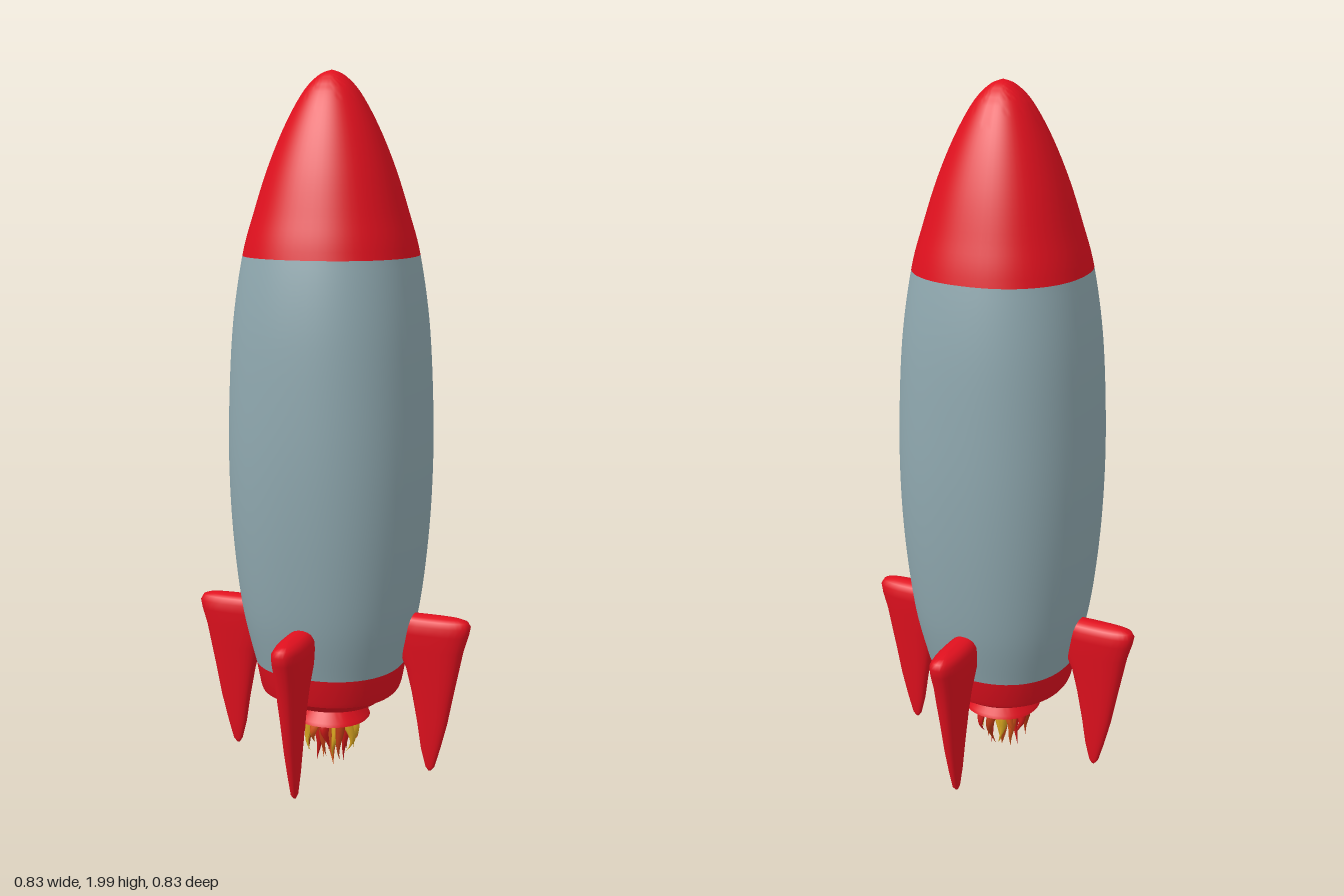
import * as THREE from 'three';
import { mergeVertices, toCreasedNormals } from 'three/addons/utils/BufferGeometryUtils.js';

const paint = (color) => new THREE.MeshStandardMaterial({ color });
const red = paint(0xe0101e);
const grey = paint(0x8fa8af);
const dark = paint(0x0a0a0a);
const flameColors = [paint(0xd8561a), paint(0xd9a520), paint(0xb83a14), paint(0xcf1a18)];

function add(parent, name, geometry, material) {
  const mesh = new THREE.Mesh(geometry, material);
  mesh.name = name;
  parent.add(mesh);
  return mesh;
}

const toPoints = (list) => list.map(([x, y]) => new THREE.Vector2(x, y));

// Turned shape whose cross-section is a slightly squared circle
function turned(points, power = 2.25) {
  const geo = new THREE.LatheGeometry(points, 64);
  const pos = geo.attributes.position;
  for (let i = 0; i < pos.count; i++) {
    const x = pos.getX(i), z = pos.getZ(i), r = Math.hypot(x, z);
    if (r < 1e-6) continue;
    const sum = Math.abs(x / r) ** power + Math.abs(z / r) ** power;
    const k = sum ** (-1 / power);
    pos.setXYZ(i, x * k, pos.getY(i), z * k);
  }
  geo.deleteAttribute('normal');
  geo.deleteAttribute('uv');
  return toCreasedNormals(mergeVertices(geo, 1e-5), 0.6);
}

// Fin lofted from rounded horizontal sections: [y, inner x, outer x, half thickness]
function finGeometry() {
  const sections = [
    [0.033, 0.296, 0.304, 0.004], [0.045, 0.288, 0.314, 0.009], [0.1, 0.274, 0.33, 0.014],
    [0.18, 0.262, 0.35, 0.02], [0.27, 0.245, 0.367, 0.026], [0.34, 0.228, 0.381, 0.032],
    [0.4, 0.2, 0.393, 0.037], [0.45, 0.19, 0.408, 0.041], [0.475, 0.19, 0.413, 0.04],
    [0.49, 0.19, 0.405, 0.031], [0.497, 0.19, 0.385, 0.019], [0.5, 0.19, 0.35, 0.006],
  ];
  const sides = 28, verts = [], index = [];
  const soft = (v) => Math.sign(v) * Math.abs(v) ** 0.75;
  for (const [y, inner, outer, half] of sections) {
    for (let i = 0; i < sides; i++) {
      const a = (i / sides) * Math.PI * 2;
      verts.push((inner + outer) / 2 + soft(Math.cos(a)) * (outer - inner) / 2, y, soft(Math.sin(a)) * half);
    }
  }
  for (let s = 0; s < sections.length - 1; s++) {
    for (let i = 0; i < sides; i++) {
      const a = s * sides + i, b = s * sides + (i + 1) % sides;
      index.push(a, a + sides, b, b, a + sides, b + sides);
    }
  }
  // End caps
  const top = (sections.length - 1) * sides;
  for (let i = 1; i < sides - 1; i++) {
    index.push(0, i, i + 1, top, top + i + 1, top + i);
  }
  const geo = new THREE.BufferGeometry();
  geo.setAttribute('position', new THREE.Float32BufferAttribute(verts, 3));
  geo.setIndex(index);
  geo.computeVertexNormals();
  return geo;
}

// Curling tongue of fire hanging down from its root
function flameGeometry(radius, length, lean, phase) {
  const geo = new THREE.ConeGeometry(radius, length, 7, 8);
  geo.rotateX(Math.PI);
  geo.translate(0, -length / 2, 0);
  const pos = geo.attributes.position;
  for (let i = 0; i < pos.count; i++) {
    const t = -pos.getY(i) / length;
    const swell = 1 + 0.5 * Math.sin(t * Math.PI);
    pos.setX(i, pos.getX(i) * swell + lean * Math.sin(t * 2.6) + 0.008 * Math.sin(t * 6 + phase) * t);
    pos.setZ(i, pos.getZ(i) * swell + 0.01 * Math.sin(t * 5 + phase * 2) * t);
  }
  geo.computeVertexNormals();
  return geo;
}

export function createModel() {
  const rocket = new THREE.Group();
  rocket.name = 'rocket';

  // Hull and nose share one smooth profile
  const profile = toPoints([
    [0.214, 0.345], [0.249, 0.5], [0.272, 0.7], [0.282, 0.9], [0.28, 1.1], [0.267, 1.32], [0.24, 1.505],
    [0.209, 1.62], [0.171, 1.74], [0.126, 1.85], [0.077, 1.94], [0.035, 1.985], [0, 2],
  ]);
  const steps = 6;
  const curve = new THREE.SplineCurve(profile).getPoints((profile.length - 1) * steps);
  curve[curve.length - 1].x = 0;
  add(rocket, 'hull', turned(curve.slice(0, 6 * steps + 1)), grey);
  add(rocket, 'noseCone', turned(curve.slice(6 * steps)), red);

  // Tail band, stepped ring and nozzle, each hollow below
  add(rocket, 'tailBand', turned(toPoints([
    [0.172, 0.31], [0.175, 0.262], [0.187, 0.256], [0.196, 0.261], [0.201, 0.275], [0.214, 0.345],
  ])), red);
  add(rocket, 'tailRing', turned(toPoints([
    [0.122, 0.262], [0.135, 0.23], [0.148, 0.228], [0.168, 0.252], [0.166, 0.26], [0.12, 0.275],
  ]), 2.1), red);
  add(rocket, 'nozzle', turned(toPoints([
    [0.06, 0.205], [0.098, 0.166], [0.111, 0.166], [0.107, 0.175], [0.085, 0.2], [0.076, 0.22], [0.074, 0.26],
  ]), 2.1), red);
  for (const [name, radius, y] of [
    ['tailFloor', 0.182, 0.272], ['ringFloor', 0.135, 0.245], ['nozzleFloor', 0.085, 0.185],
  ]) {
    const disc = add(rocket, name, new THREE.CircleGeometry(radius, 40), dark);
    disc.rotation.x = Math.PI / 2;
    disc.position.y = y;
  }

  // Four fins
  const fin = finGeometry();
  ['leftFin', 'backFin', 'rightFin', 'frontFin'].forEach((name, i) => {
    add(rocket, name, fin, red).rotation.y = i * Math.PI / 2;
  });

  // Exhaust flames in two rings around a long core
  const flames = new THREE.Group();
  flames.name = 'flames';
  flames.position.y = 0.185;
  rocket.add(flames);
  add(flames, 'coreFlame', flameGeometry(0.026, 0.178, 0.004, 1), flameColors[0]);
  for (const [count, ring, length, lean] of [[7, 0.03, 0.155, 0.012], [13, 0.056, 0.115, 0.018]]) {
    for (let i = 0; i < count; i++) {
      const wobble = Math.sin(i * 4.7 + count);
      const angle = (i / count) * Math.PI * 2 + wobble * 0.1;
      const flame = add(flames, 'flame',
        flameGeometry(0.015, length + wobble * 0.02, lean, i * 1.9), flameColors[(i * 3 + count) % 4]);
      flame.position.set(Math.cos(angle) * ring, 0, -Math.sin(angle) * ring);
      flame.rotation.y = angle;
    }
  }
  return rocket;
}
